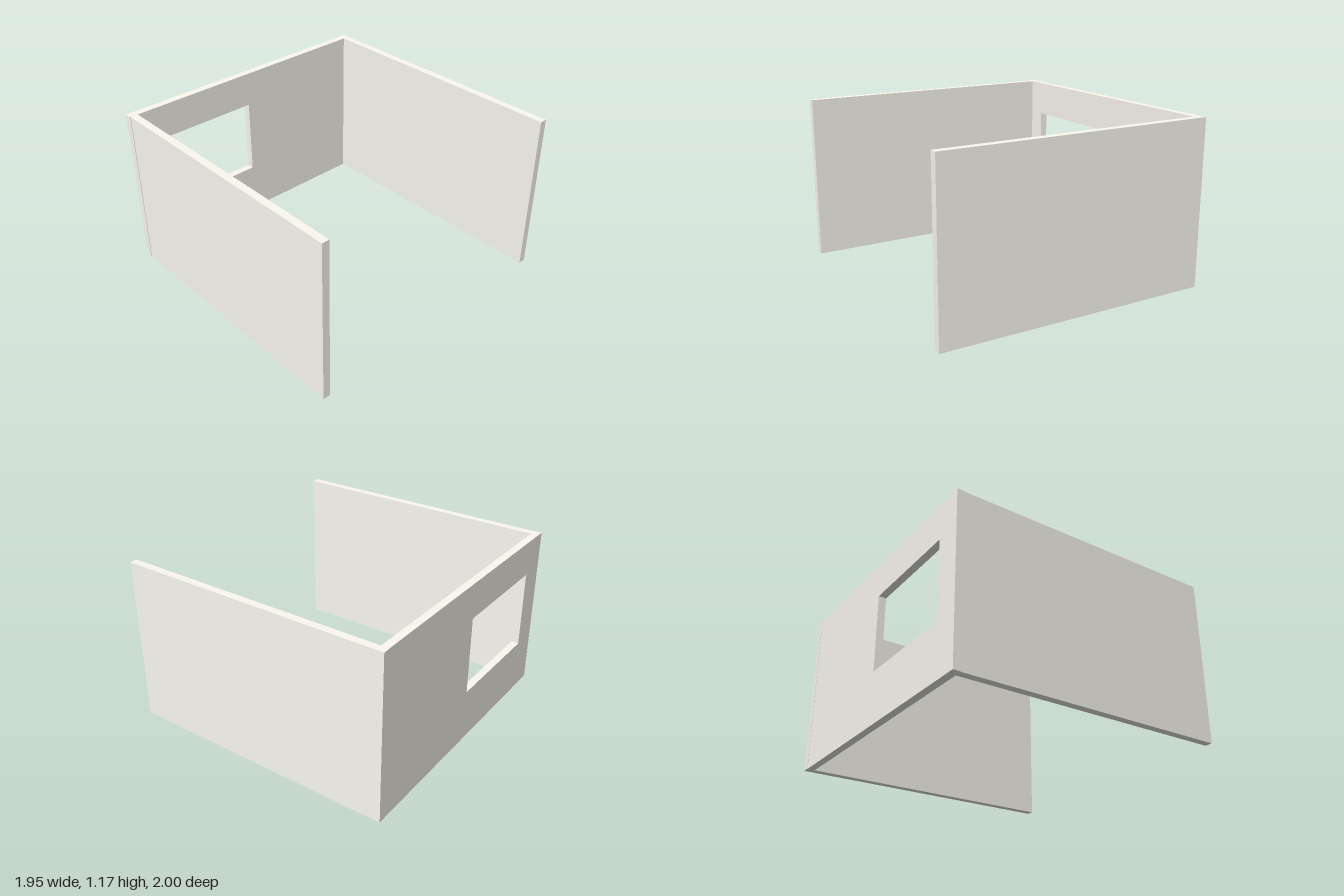
import * as THREE from 'three';

const HEIGHT = 1.17;
const THICK = 0.053;

export function createModel() {
  const group = new THREE.Group();
  const material = new THREE.MeshStandardMaterial({ color: 0xfbf9f0 });

  const add = (name, geometry, x, y, z) => {
    const mesh = new THREE.Mesh(geometry, material);
    mesh.name = name;
    mesh.position.set(x, y, z);
    group.add(mesh);
  };

  // Solid wall running along x between two ends
  const addWall = (name, x0, x1, z) =>
    add(name, new THREE.BoxGeometry(x1 - x0, HEIGHT, THICK), (x0 + x1) / 2, HEIGHT / 2, z);

  // Closed rectangle outline, u along the wall and v up
  const rectangle = (path, u0, v0, u1, v1) =>
    path.moveTo(u0, v0).lineTo(u1, v0).lineTo(u1, v1).lineTo(u0, v1).closePath();

  // The back wall covers its corner; the front wall butts against the side wall,
  // set back a hair from its end so the joint shows
  addWall('backWall', -0.977, 0.972, -1 + THICK / 2);
  addWall('frontWall', -0.922, 0.977, 0.996 - THICK / 2);

  // Side wall with a window opening, drawn in z and y, extruded towards -x
  const outline = rectangle(new THREE.Shape(), -1 + THICK, 0, 1, HEIGHT);
  outline.holes.push(rectangle(new THREE.Path(), 0.026, 0.37, 0.81, 0.92));
  const sideWall = new THREE.ExtrudeGeometry(outline, { depth: THICK, bevelEnabled: false });
  sideWall.rotateY(-Math.PI / 2);
  add('windowWall', sideWall, -0.922, 0, 0);

  return group;
}
